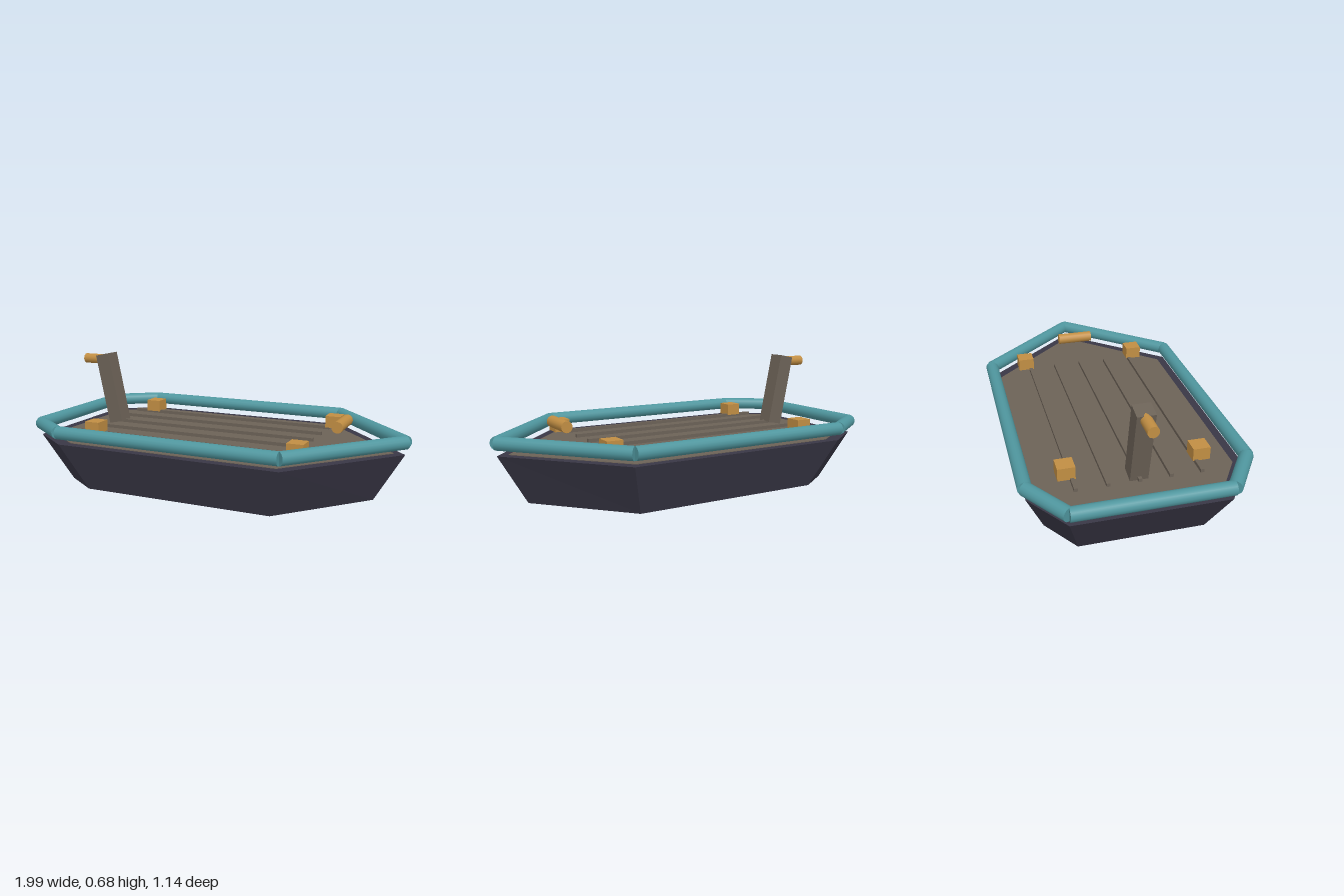
import * as THREE from 'three';

const mat = (name, color) => {
  const m = new THREE.MeshStandardMaterial({ color });
  m.name = name;
  return m;
};

// Plan outline of the boat as [x, z], bow at +x
const OUTLINE = [
  [-0.965, 0.38], [-0.74, 0.535], [0.49, 0.535], [0.965, 0],
  [0.49, -0.535], [-0.74, -0.535], [-0.965, -0.38],
];

export function createModel() {
  const boat = new THREE.Group();
  boat.name = 'boat';
  const hullMat = mat('dark hull', 0x393746);
  const railMat = mat('teal rail', 0x4f969e);
  const deckMat = mat('grey brown deck', 0x6c6257);
  const woodMat = mat('golden wood', 0xc18e43);

  const add = (name, geometry, material, x = 0, y = 0, z = 0) => {
    const mesh = new THREE.Mesh(geometry, material);
    mesh.name = name;
    mesh.position.set(x, y, z);
    boat.add(mesh);
    return mesh;
  };

  // Upright slab following the outline, standing on y = 0
  const slab = (sx, sz, height) => {
    const shape = new THREE.Shape(OUTLINE.map(([x, z]) => new THREE.Vector2(x * sx, z * sz)));
    return new THREE.ExtrudeGeometry(shape, { depth: height, bevelEnabled: false }).rotateX(-Math.PI / 2);
  };

  // Hull: the slab with its lower edge drawn in
  const hull = slab(1, 1, 0.256);
  const p = hull.attributes.position;
  for (let i = 0; i < p.count; i++) {
    if (p.getY(i) < 0.01) p.setXYZ(i, p.getX(i) * 0.845, 0, p.getZ(i) * 0.825);
  }
  hull.computeVertexNormals();
  add('hull', hull, hullMat);

  // Deck set into the hull top
  add('deck', slab(0.94, 0.915, 0.008), deckMat, 0, 0.251, 0);

  // Rail: one straight round bar per outline edge
  const up = new THREE.Vector3(0, 1, 0);
  OUTLINE.forEach(([x, z], i) => {
    const [x2, z2] = OUTLINE[(i + 1) % OUTLINE.length];
    const dir = new THREE.Vector3(x2 - x, 0, z2 - z);
    const bar = add('railBar', new THREE.CylinderGeometry(0.035, 0.035, dir.length(), 16),
      railMat, (x + x2) / 2, 0.32, (z + z2) / 2);
    bar.quaternion.setFromUnitVectors(up, dir.normalize());
  });

  // Deck strips
  for (let i = -2; i <= 2; i++) {
    add('deckStrip', new THREE.BoxGeometry(1.25, 0.018, 0.018), deckMat, -0.137, 0.285, i * 0.153);
  }

  // Mooring blocks
  for (const x of [-0.637, 0.511]) {
    for (const z of [-0.332, 0.332]) {
      add('mooringBlock', new THREE.BoxGeometry(0.085, 0.066, 0.087), woodMat, x, 0.32, z);
    }
  }

  // Bow roller
  add('bowRoller', new THREE.CylinderGeometry(0.03, 0.03, 0.2, 16), woodMat, 0.64, 0.385, 0)
    .rotation.x = Math.PI / 2;

  // Leaning steering post with its handle
  add('steeringPost', new THREE.BoxGeometry(0.085, 0.4, 0.09), deckMat, -0.737, 0.476, 0)
    .rotation.z = 0.2;
  add('steeringHandle', new THREE.CylinderGeometry(0.028, 0.028, 0.14, 16), woodMat, -0.845, 0.64, 0)
    .rotation.z = Math.PI / 2;

  return boat;
}
